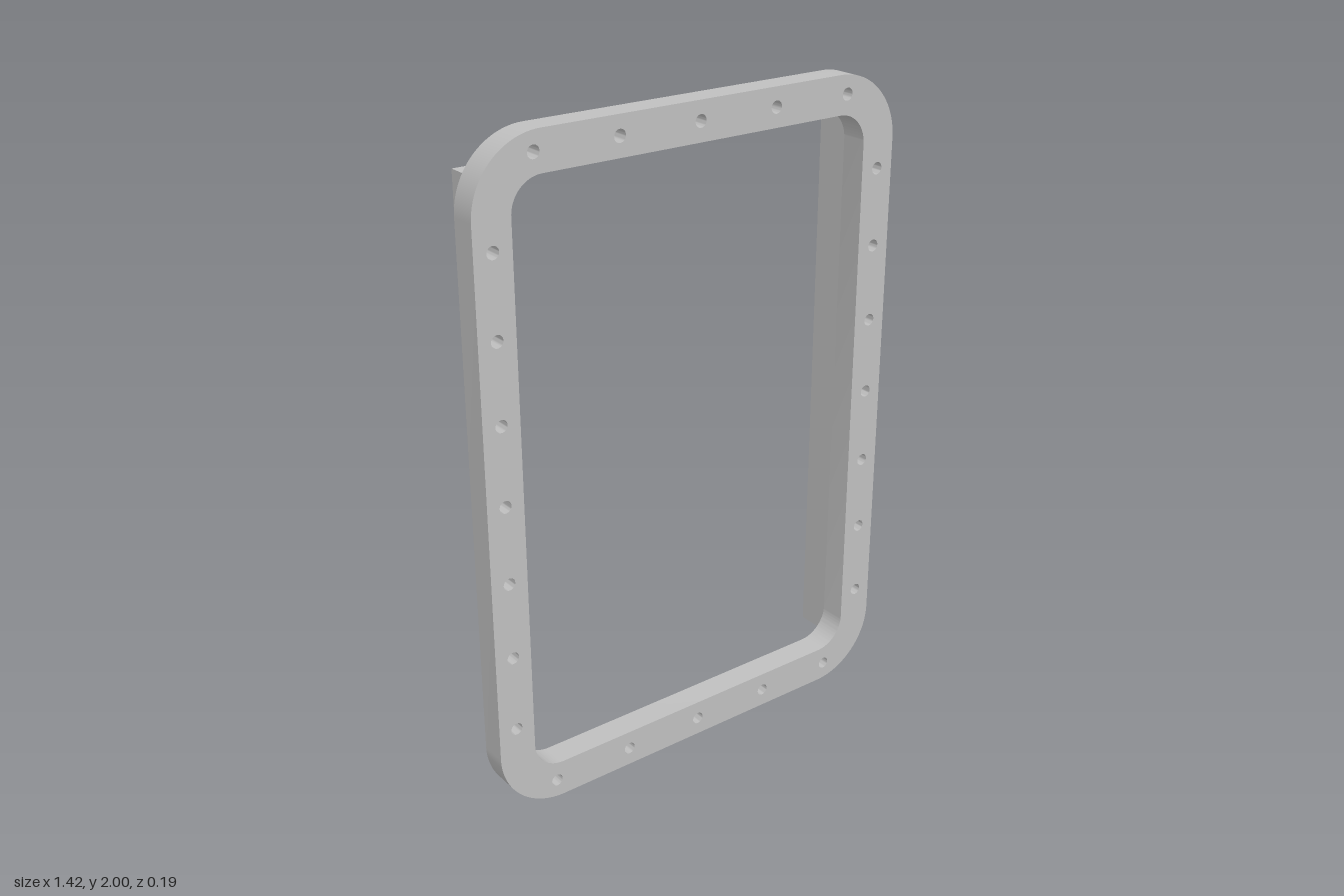
import * as THREE from 'three';
import { toCreasedNormals } from 'three/addons/utils/BufferGeometryUtils.js';

const HALF_W = 0.71, BORDER = 0.115, CORNER = 0.21;
const HOLE_R = 0.0185, HOLE_X = 0.653, PITCH_X = 0.262, PITCH_Y = 0.236;
const BACK = -0.0925, SEAT = 0.0105, FRONT = 0.0925;

// Rounded rectangle centred on the origin
function roundedRect(path, w, h, r) {
  path.absarc(w - r, h - r, r, 0, Math.PI / 2);
  path.absarc(r - w, h - r, r, Math.PI / 2, Math.PI);
  path.absarc(r - w, r - h, r, Math.PI, Math.PI * 1.5);
  path.absarc(w - r, r - h, r, Math.PI * 1.5, Math.PI * 2);
  path.closePath();
  return path;
}

function extrude(shape, z0, z1) {
  const geo = new THREE.ExtrudeGeometry(shape, { depth: z1 - z0, bevelEnabled: false, curveSegments: 16 });
  geo.translate(0, 0, z0);
  return toCreasedNormals(geo, 0.6);
}

export function createModel() {
  const group = new THREE.Group();
  const grey = new THREE.MeshStandardMaterial({ color: 0xbfbfbf });
  grey.name = 'grey';

  // Flange frame with its opening and bolt holes
  const flange = roundedRect(new THREE.Shape(), HALF_W, 1, CORNER);
  flange.holes.push(roundedRect(new THREE.Path(), HALF_W - BORDER, 1 - BORDER, CORNER - BORDER));
  const addHole = (x, y) => flange.holes.push(new THREE.Path().absarc(x, y, HOLE_R, 0, Math.PI * 2));
  for (const s of [-1, 1]) {
    for (let i = -2; i <= 2; i++) addHole(i * PITCH_X, s * 0.943);
    for (let i = -3; i <= 3; i++) addHole(s * HOLE_X, i * PITCH_Y);
  }
  const frame = new THREE.Mesh(extrude(flange, SEAT, FRONT), grey);
  frame.name = 'flangeFrame';
  frame.position.y = 1;
  group.add(frame);

  // Rear rail with half-round bolt grooves down its outer face
  const inner = HALF_W - BORDER, outer = 0.652, end = 0.882;
  const rail = new THREE.Shape();
  rail.moveTo(inner, -end);
  rail.lineTo(outer, -end);
  for (let i = -3; i <= 3; i++) {
    rail.absarc(outer, i * PITCH_Y, HOLE_R, -Math.PI / 2, Math.PI / 2, true);
  }
  rail.lineTo(outer, end);
  rail.lineTo(inner, end);
  rail.closePath();
  const railGeo = extrude(rail, BACK, SEAT);

  // The two rails are the same part turned half round
  ['leftRail', 'rightRail'].forEach((name, i) => {
    const mesh = new THREE.Mesh(railGeo, grey);
    mesh.name = name;
    mesh.position.y = 1;
    mesh.rotation.z = i * Math.PI;
    group.add(mesh);
  });
  return group;
}
